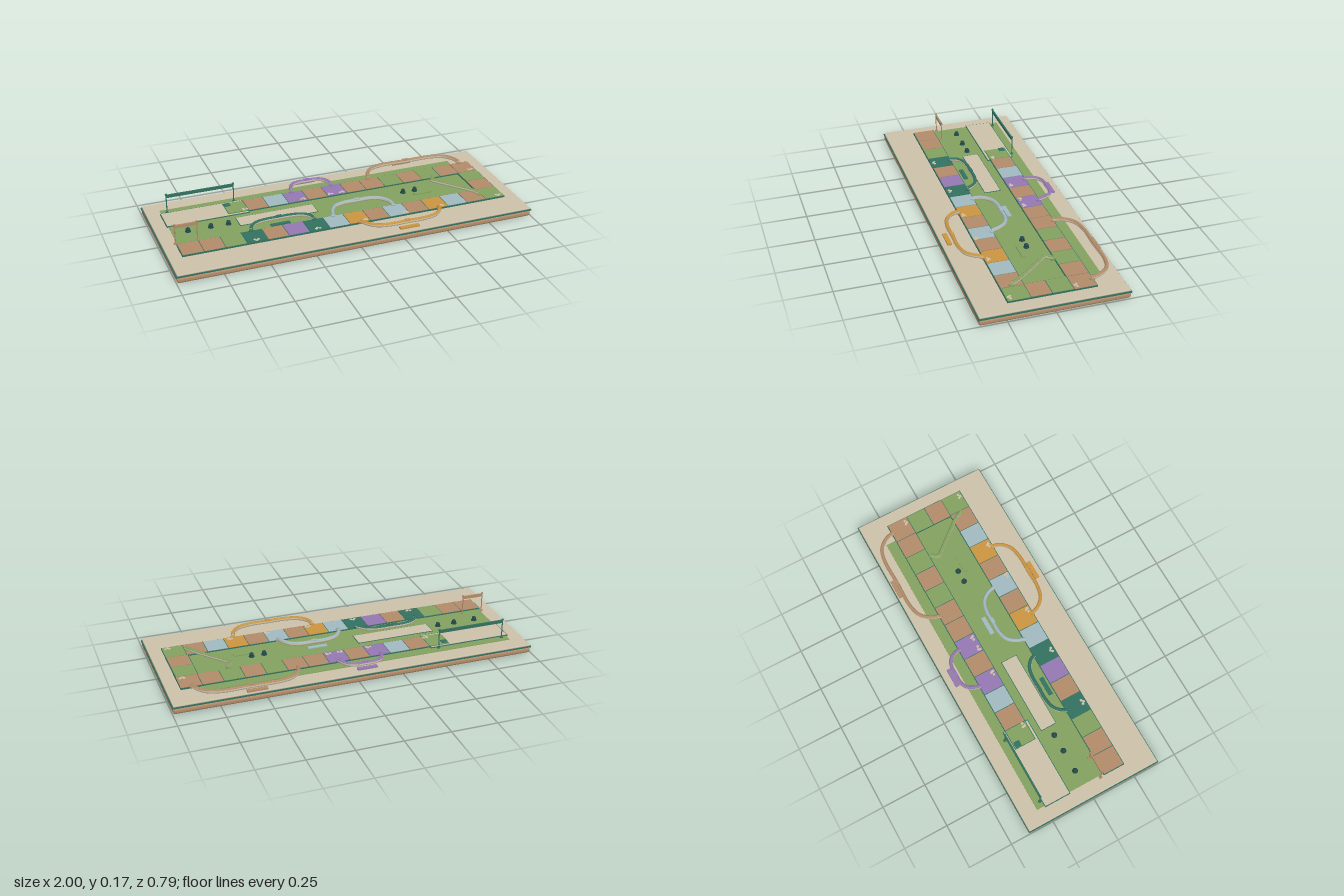
import * as THREE from 'three';
import { RoundedBoxGeometry } from 'three/addons/geometries/RoundedBoxGeometry.js';

const mat = (name, color) => {
  const m = new THREE.MeshStandardMaterial({ color });
  m.name = name;
  return m;
};

export function createModel() {
  const M = {
    beige: mat('beige', 0xcbc0a8), brown: mat('brown', 0xb28b69),
    teal: mat('teal', 0x33705f), green: mat('green', 0x82a05f),
    purple: mat('purple', 0x9478b2), blue: mat('pale blue', 0xa0b8c0),
    orange: mat('orange', 0xca9440), dark: mat('dark teal', 0x24494a),
  };
  const model = new THREE.Group();
  model.name = 'boardGame';

  const add = (name, geo, m, x = 0, y = 0, z = 0, parent = model) => {
    const mesh = new THREE.Mesh(geo, m);
    mesh.name = name;
    mesh.position.set(x, y, z);
    parent.add(mesh);
    return mesh;
  };
  // box given by its x, y and z ranges
  const slab = (name, m, x0, x1, y0, y1, z0, z1, parent) =>
    add(name, new THREE.BoxGeometry(x1 - x0, y1 - y0, z1 - z0), m,
      (x0 + x1) / 2, (y0 + y1) / 2, (z0 + z1) / 2, parent);
  const group = (name) => {
    const g = new THREE.Group();
    g.name = name;
    model.add(g);
    return g;
  };

  // layered board
  add('boardBase', new RoundedBoxGeometry(1.996, 0.034, 0.786, 4, 0.014), M.brown, 0, 0.017, 0);
  slab('boardBand', M.teal, -1, 1, 0.034, 0.041, -0.394, 0.394);
  add('boardTop', new RoundedBoxGeometry(1.99, 0.01, 0.78, 3, 0.004), M.beige, 0, 0.045, 0);
  slab('field', M.green, -0.915, 0.82, 0.049, 0.053, -0.3, 0.11);

  // teal trays under the path and the panels
  const trays = group('trays');
  slab('backTray', M.teal, -0.578, 0.922, 0.05, 0.0585, -0.243, -0.118, trays);
  slab('frontTray', M.teal, -0.925, 0.922, 0.05, 0.0585, 0.101, 0.226, trays);
  slab('sideTray', M.teal, 0.8, 0.922, 0.05, 0.0585, -0.12, 0.105, trays);
  slab('startTray', M.teal, -0.924, -0.462, 0.05, 0.057, -0.256, -0.103, trays);
  slab('startPanel', M.beige, -0.92, -0.466, 0.05, 0.058, -0.252, -0.107, trays);
  slab('centreTray', M.teal, -0.554, -0.111, 0.05, 0.0555, -0.071, 0.023, trays);
  slab('centrePanel', M.beige, -0.551, -0.114, 0.05, 0.0565, -0.068, 0.02, trays);

  // path tiles, one letter per colour
  const key = { n: M.brown, g: M.green, t: M.teal, p: M.purple, b: M.blue, o: M.orange };
  const tiles = group('pathTiles');
  const step = 0.1153;
  const row = (codes, x0, z0) => [...codes].forEach((c, i) => {
    const x = x0 + i * step;
    slab('tile', key[c], x + 0.002, x + step - 0.002, 0.052, 0.0605, z0, z0 + 0.117, tiles);
  });
  row('gnbpnpnngngnn', -0.577, -0.239);
  row('nngtnptbonbnobng', -0.923, 0.105);
  slab('tile', M.green, 0.804, 0.918, 0.052, 0.0605, -0.118, -0.009, tiles);
  slab('tile', M.brown, 0.804, 0.918, 0.052, 0.0605, -0.005, 0.102, tiles);

  // pale tufts in tile corners
  const tufts = group('tufts');
  const tuft = (x, z) => {
    for (let i = 0; i < 4; i++) {
      const a = i * 2.1 + x * 9;
      add('tuft', new THREE.CylinderGeometry(0.007, 0.009, 0.003, 6), M.beige,
        x + 0.012 * Math.cos(a), 0.061, z + 0.006 * Math.sin(a), tufts);
    }
  };
  for (const x of [-0.52, -0.18, 0.09, 0.33, 0.54, 0.89]) tuft(x, 0.205);
  for (const x of [-0.48, -0.14, 0.02, 0.09, 0.89]) tuft(x, -0.14);
  add('startChip', new RoundedBoxGeometry(0.034, 0.006, 0.034, 2, 0.002), M.teal, -0.557, 0.062, -0.218);

  // raised shortcuts: pale tube with a coloured upper face
  const shortcut = (name, m, pts) => {
    const g = group(name);
    const last = pts.length - 1;
    const tube = (part, r, dy, mm) => {
      const curve = new THREE.CatmullRomCurve3(pts.map(([x, z], i) =>
        new THREE.Vector3(x, (i === 0 || i === last ? 0.067 : 0.07) + dy, z)), false, 'centripetal');
      add(part, new THREE.TubeGeometry(curve, 48, r, 10), mm, 0, 0, 0, g);
    };
    tube('rail', 0.0105, 0, M.beige);
    tube('railTop', 0.0095, 0.0025, m);
    for (const [x, z] of [pts[0], pts[last]]) {
      add('landing', new THREE.CylinderGeometry(0.013, 0.013, 0.01, 14), m, x, 0.061, z, g);
    }
  };
  // symmetric arch from x0 to x1, leaving the path at z0 and reaching z1
  const arch = (name, m, x0, x1, z0, z1) => {
    const d = z1 - z0;
    const w = Math.min(0.13, (x1 - x0) * 0.3);
    const half = [[0, 0], [0.12, 0.4], [0.45, 0.82], [1, 1]];
    shortcut(name, m, [
      ...half.map(([u, v]) => [x0 + u * w, z0 + v * d]),
      [(x0 + x1) / 2, z1],
      ...half.slice().reverse().map(([u, v]) => [x1 - u * w, z0 + v * d]),
    ]);
    add('clasp', new THREE.BoxGeometry(0.03, 0.004, 0.018), m, (x0 + x1) / 2, 0.081, z1);
  };
  arch('purpleShortcut', M.purple, -0.178, 0.064, -0.235, -0.322);
  arch('brownShortcut', M.brown, 0.288, 0.865, -0.235, -0.355);
  arch('tealShortcut', M.teal, -0.52, -0.165, 0.108, 0.035);
  arch('blueShortcut', M.blue, -0.056, 0.296, 0.108, 0.002);
  arch('orangeShortcut', M.orange, 0.058, 0.52, 0.222, 0.322);
  shortcut('greenShortcut', M.green, [[0.635, -0.108], [0.615, -0.075], [0.635, -0.045],
    [0.69, 0.02], [0.735, 0.075], [0.775, 0.125], [0.795, 0.165]]);

  // small plaques beside the shortcuts
  const plaques = group('plaques');
  for (const [m, x, z] of [[M.purple, -0.06, -0.342], [M.brown, 0.552, -0.372],
    [M.teal, -0.347, 0.077], [M.blue, 0.114, -0.032], [M.orange, 0.287, 0.351], [M.green, 0.515, 0.02]]) {
    slab('plaque', m, x - 0.055, x + 0.055, 0.049, 0.058, z - 0.012, z + 0.012, plaques);
  }

  // playing pegs
  const pegs = group('pegs');
  for (const x of [-0.83, -0.705, -0.607, 0.412, 0.482]) {
    add('pegFoot', new THREE.CylinderGeometry(0.013, 0.016, 0.008, 14), M.dark, x, 0.057, -0.02, pegs);
    add('pegHead', new THREE.SphereGeometry(0.012, 14, 10), M.dark, x, 0.066, -0.02, pegs);
  }

  // gates: two thin posts with knobs and a crossbar
  const gate = (name, m, x0, x1, z) => {
    const g = group(name);
    for (const x of [x0, x1]) {
      add('postFoot', new THREE.CylinderGeometry(0.008, 0.01, 0.008, 12), m, x, 0.054, z, g);
      add('post', new THREE.CylinderGeometry(0.003, 0.003, 0.11, 8), m, x, 0.105, z, g);
      add('knob', new THREE.SphereGeometry(0.0065, 12, 8), m, x, 0.1625, z, g);
    }
    slab('crossbar', m, x0, x1, 0.144, 0.161, z - 0.0045, z + 0.0045, g);
  };
  gate('frontGate', M.brown, -0.924, -0.805, 0.081);
  gate('backGate', M.teal, -0.882, -0.504, -0.265);

  return model;
}
